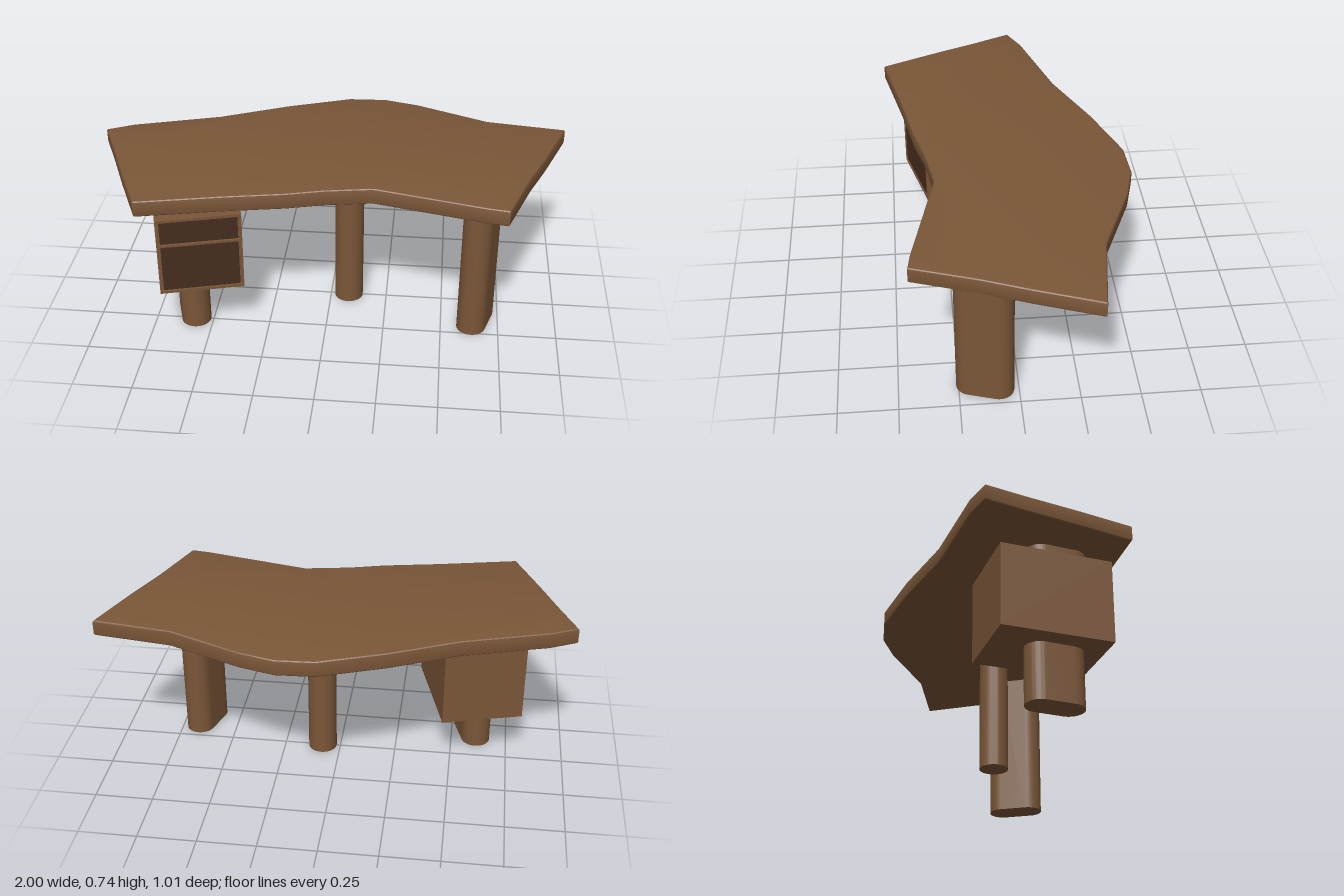
import * as THREE from 'three';
import { toCreasedNormals } from 'three/addons/utils/BufferGeometryUtils.js';

const wood = new THREE.MeshStandardMaterial({ color: 0x7a5638 });
wood.name = 'walnut';
const darkWood = new THREE.MeshStandardMaterial({ color: 0x452d1e });
darkWood.name = 'darkDrawerWood';

function addMesh(parent, name, geometry, material, x = 0, y = 0, z = 0) {
  const mesh = new THREE.Mesh(geometry, material);
  mesh.name = name;
  mesh.position.set(x, y, z);
  parent.add(mesh);
  return mesh;
}

// Desktop outline as [x, z], clockwise from the left rear corner
const OUTLINE = [
  [-1, -0.1], [-0.89, -0.155], [-0.524, -0.267], [-0.235, -0.4], [0.037, -0.5], [0.2, -0.507],
  [0.353, -0.465], [0.663, -0.331], [1, -0.283], [0.904, -0.016], [0.834, 0.16], [0.743, 0.43],
  [0.658, 0.417], [0.406, 0.358], [0.198, 0.309], [0, 0.342], [-0.15, 0.382], [-0.4, 0.428],
  [-0.743, 0.502], [-0.845, 0.267], [-0.93, 0.06],
];

// Slab with softly rounded upper and lower rims
function desktopGeometry(bottom, top) {
  const bevel = 0.01;
  const shape = new THREE.Shape(OUTLINE.map(([x, z]) => new THREE.Vector2(x, -z)));
  const geometry = new THREE.ExtrudeGeometry(shape, {
    depth: top - bottom - 2 * bevel, bevelEnabled: true, bevelSize: bevel,
    bevelThickness: bevel, bevelOffset: -bevel, bevelSegments: 3,
  });
  geometry.rotateX(-Math.PI / 2);
  geometry.translate(0, bottom + bevel, 0);
  return toCreasedNormals(geometry, 0.5);
}

// Upright post with a stadium-shaped section: straight run plus two half circles
function stadiumPost(radius, run, height) {
  const shape = new THREE.Shape();
  shape.absarc(0, run / 2, radius, 0, Math.PI, false);
  shape.absarc(0, -run / 2, radius, Math.PI, 2 * Math.PI, false);
  shape.closePath();
  const geometry = new THREE.ExtrudeGeometry(shape, { depth: height, bevelEnabled: false, curveSegments: 20 });
  geometry.rotateX(-Math.PI / 2);
  return toCreasedNormals(geometry, 0.6);
}

function rectangle(Type, x0, y0, x1, y1) {
  return new Type([[x0, y0], [x1, y0], [x1, y1], [x0, y1]].map(([x, y]) => new THREE.Vector2(x, y)));
}

// Cabinet with a raised front frame and two inset drawers
function createCabinet() {
  const cabinet = new THREE.Group();
  cabinet.name = 'drawerCabinet';
  const w = 0.355, h = 0.36, d = 0.47, frameDepth = 0.015, rim = 0.012;
  addMesh(cabinet, 'cabinetBody', new THREE.BoxGeometry(w, h, d - frameDepth), wood, 0, h / 2, -frameDepth / 2);

  const openings = [['lowerDrawer', rim, 0.229], ['upperDrawer', 0.239, h - rim]];
  const frame = rectangle(THREE.Shape, -w / 2, 0, w / 2, h);
  for (const [name, y0, y1] of openings) {
    frame.holes.push(rectangle(THREE.Path, -w / 2 + rim, y0, w / 2 - rim, y1));
    const gap = 0.004;
    const panel = new THREE.BoxGeometry(w - 2 * rim - 2 * gap, y1 - y0 - 2 * gap, 0.012);
    addMesh(cabinet, name, panel, darkWood, 0, (y0 + y1) / 2, d / 2 - frameDepth + 0.006);
  }
  const frameGeometry = new THREE.ExtrudeGeometry(frame, { depth: frameDepth, bevelEnabled: false });
  addMesh(cabinet, 'cabinetFrame', frameGeometry, wood, 0, 0, d / 2 - frameDepth);
  return cabinet;
}

export function createModel() {
  const desk = new THREE.Group();
  desk.name = 'desk';
  const underside = 0.668, tilt = 0.297;

  addMesh(desk, 'desktop', desktopGeometry(underside, 0.74), wood);

  // Legs
  addMesh(desk, 'leftLeg', stadiumPost(0.0625, 0.12, underside), wood, 0.65, 0, 0.14).rotation.y = -tilt;
  addMesh(desk, 'middleLeg', toCreasedNormals(new THREE.CylinderGeometry(0.063, 0.063, underside, 40), 0.6),
    wood, 0.08, underside / 2, 0);
  addMesh(desk, 'rightLeg', stadiumPost(0.064, 0.12, 0.25), wood, -0.593, 0, 0.194).rotation.y = tilt;
  addMesh(desk, 'cabinetSupport', stadiumPost(0.067, 0.125, underside - 0.6), wood, -0.614, 0.6, 0.205).rotation.y = tilt;

  // Cabinet hung on the right leg
  const cabinet = createCabinet();
  cabinet.position.set(-0.572, 0.245, 0.152);
  cabinet.rotation.y = 0.262;
  desk.add(cabinet);
  return desk;
}
